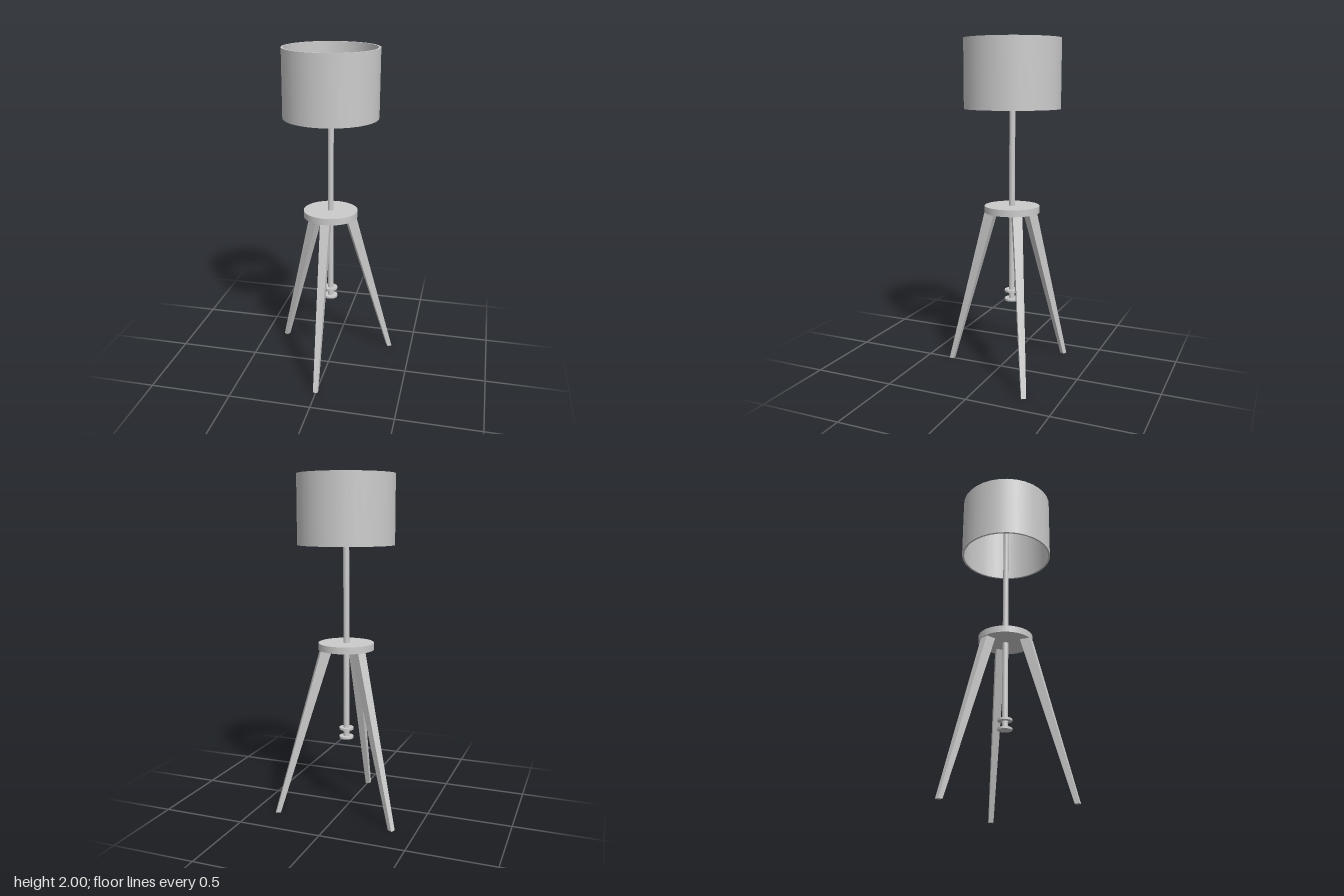
import * as THREE from 'three';

const material = new THREE.MeshStandardMaterial({ color: 0xcccccc });

function add(parent, name, geometry) {
  const mesh = new THREE.Mesh(geometry, material);
  mesh.name = name;
  parent.add(mesh);
  return mesh;
}

// Upright cylinder between two heights
function disc(parent, name, radius, y0, y1, sides = 32) {
  const mesh = add(parent, name, new THREE.CylinderGeometry(radius, radius, y1 - y0, sides));
  mesh.position.y = (y0 + y1) / 2;
}

// Tapered, splayed leg running outward along +z, cut level at both ends
function legGeometry(inset) {
  const height = 0.99;
  const foot = { width: 0.028, near: 0.399, far: 0.427 };
  const head = { width: 0.056, near: 0.102 - inset, far: 0.166 - inset };
  const geometry = new THREE.BoxGeometry(1, 1, 1);
  const p = geometry.attributes.position;
  for (let i = 0; i < p.count; i++) {
    const end = p.getY(i) > 0 ? head : foot;
    p.setXYZ(i, p.getX(i) * end.width, p.getY(i) > 0 ? height : 0, p.getZ(i) > 0 ? end.far : end.near);
  }
  geometry.computeVertexNormals();
  return geometry;
}

export function createModel() {
  const model = new THREE.Group();
  model.name = 'tripodLamp';

  // Everything is arranged around the pole, which sits behind the centre
  const lamp = new THREE.Group();
  lamp.name = 'lamp';
  lamp.position.set(-0.003, 0, -0.073);
  model.add(lamp);

  // Open drum shade with wall thickness
  const outline = new THREE.Shape().absarc(0, 0, 0.282, 0, Math.PI * 2);
  outline.holes.push(new THREE.Path().absarc(0, 0, 0.27, 0, Math.PI * 2, true));
  const shadeProfile = [[0.27, 1.6], [0.282, 1.6], [0.282, 2], [0.27, 2], [0.27, 1.6]];
  const shade = new THREE.Group();
  shade.name = 'shade';
  lamp.add(shade);
  // one lathe per wall keeps the rims sharp
  ['bottomRim', 'outerWall', 'topRim', 'innerWall'].forEach((name, i) => {
    const points = shadeProfile.slice(i, i + 2).map(([r, y]) => new THREE.Vector2(r, y));
    add(shade, name, new THREE.LatheGeometry(points, 32));
  });

  // Pole, table and the two small weights at its lower end
  disc(lamp, 'pole', 0.0175, 0.445, 1.8);
  disc(lamp, 'table', 0.164, 0.99, 1.03, 48);
  disc(lamp, 'upperWeight', 0.043, 0.498, 0.511);
  disc(lamp, 'lowerWeight', 0.043, 0.444, 0.457);

  // Three legs, the rear pair set slightly back
  for (let i = 0; i < 3; i++) {
    const leg = add(lamp, ['frontLeg', 'rearLeftLeg', 'rearRightLeg'][i], legGeometry(i ? 0.017 : 0));
    leg.rotation.y = (i * Math.PI * 2) / 3;
    leg.position.z = i ? -0.014 : 0;
  }
  return model;
}
